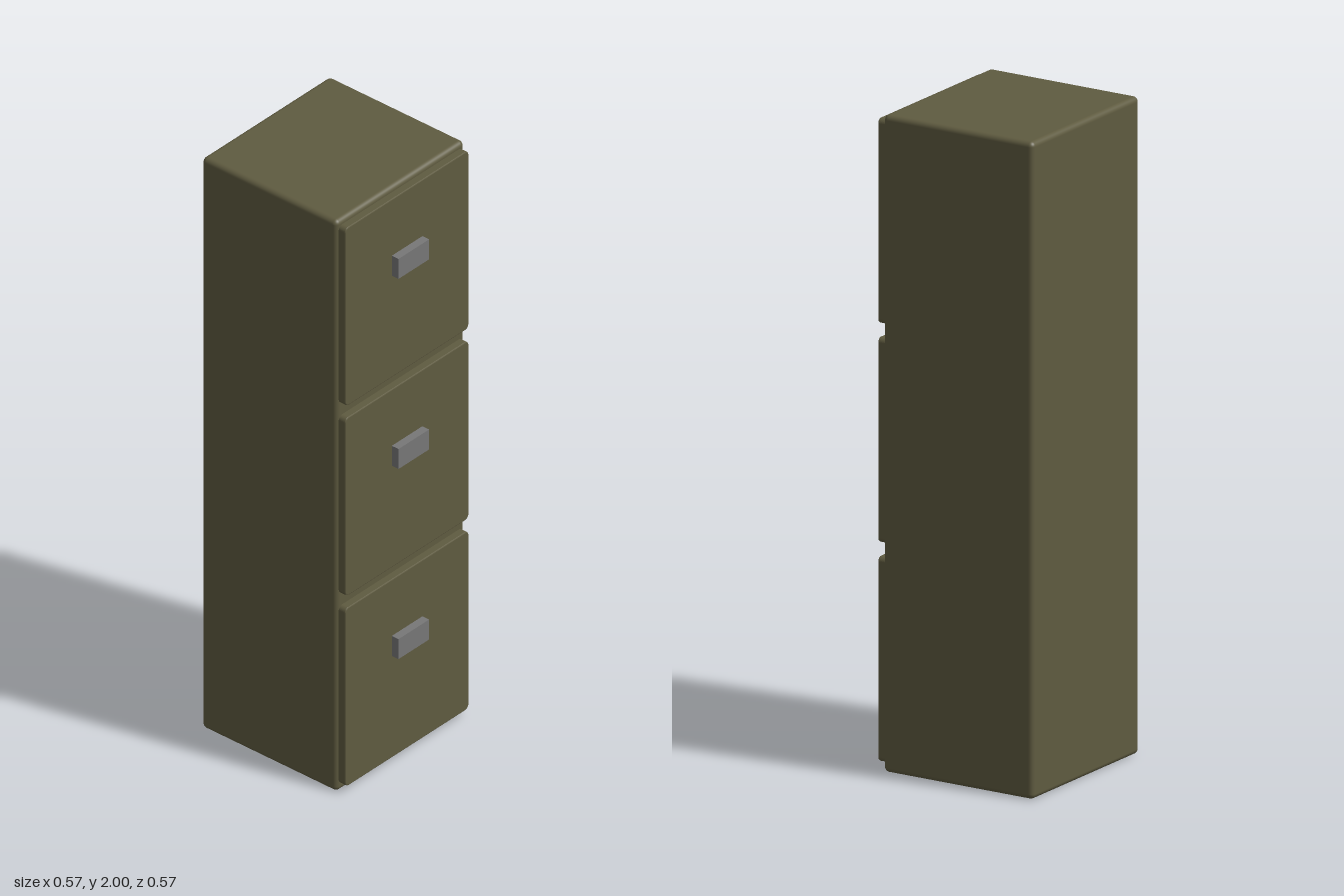
import * as THREE from 'three';
import { RoundedBoxGeometry } from 'three/addons/geometries/RoundedBoxGeometry.js';

const olive = new THREE.MeshStandardMaterial({ name: 'olivePaint', color: 0x5f5b40 });
const grey = new THREE.MeshStandardMaterial({ name: 'greyMetal', color: 0x777777 });

// Rounded rectangle plate with a fine bevel, from z = 0 to z = depth
function plateGeometry(w, h, depth, r, bevel) {
  const x = w / 2 - bevel, y = h / 2 - bevel;
  const s = new THREE.Shape();
  s.moveTo(-x + r, -y);
  s.lineTo(x - r, -y);
  s.absarc(x - r, -y + r, r, -Math.PI / 2, 0);
  s.absarc(x - r, y - r, r, 0, Math.PI / 2);
  s.absarc(-x + r, y - r, r, Math.PI / 2, Math.PI);
  s.absarc(-x + r, -y + r, r, Math.PI, Math.PI * 1.5);
  const g = new THREE.ExtrudeGeometry(s, {
    depth: depth - 2 * bevel, bevelThickness: bevel, bevelSize: bevel, bevelSegments: 2, curveSegments: 5,
  });
  return g.translate(0, 0, bevel);
}

function add(parent, name, geometry, material, x, y, z) {
  const mesh = new THREE.Mesh(geometry, material);
  mesh.name = name;
  mesh.position.set(x, y, z);
  parent.add(mesh);
}

export function createModel() {
  const cabinet = new THREE.Group();
  cabinet.name = 'filingCabinet';

  // Cabinet body
  add(cabinet, 'body', new RoundedBoxGeometry(0.57, 2, 0.521, 4, 0.016), olive, 0, 1, -0.0255);

  // Three drawers, each with a block handle above its middle
  const front = plateGeometry(0.548, 0.624, 0.04, 0.013, 0.003);
  const handle = new THREE.BoxGeometry(0.136, 0.07, 0.03);
  for (let i = 0; i < 3; i++) {
    const drawer = new THREE.Group();
    drawer.name = 'drawer' + (i + 1);
    drawer.position.y = 0.337 + i * 0.6665;
    add(drawer, 'drawerFront', front, olive, 0, 0, 0.22);
    add(drawer, 'handle', handle, grey, 0, 0.08, 0.271);
    cabinet.add(drawer);
  }
  return cabinet;
}
